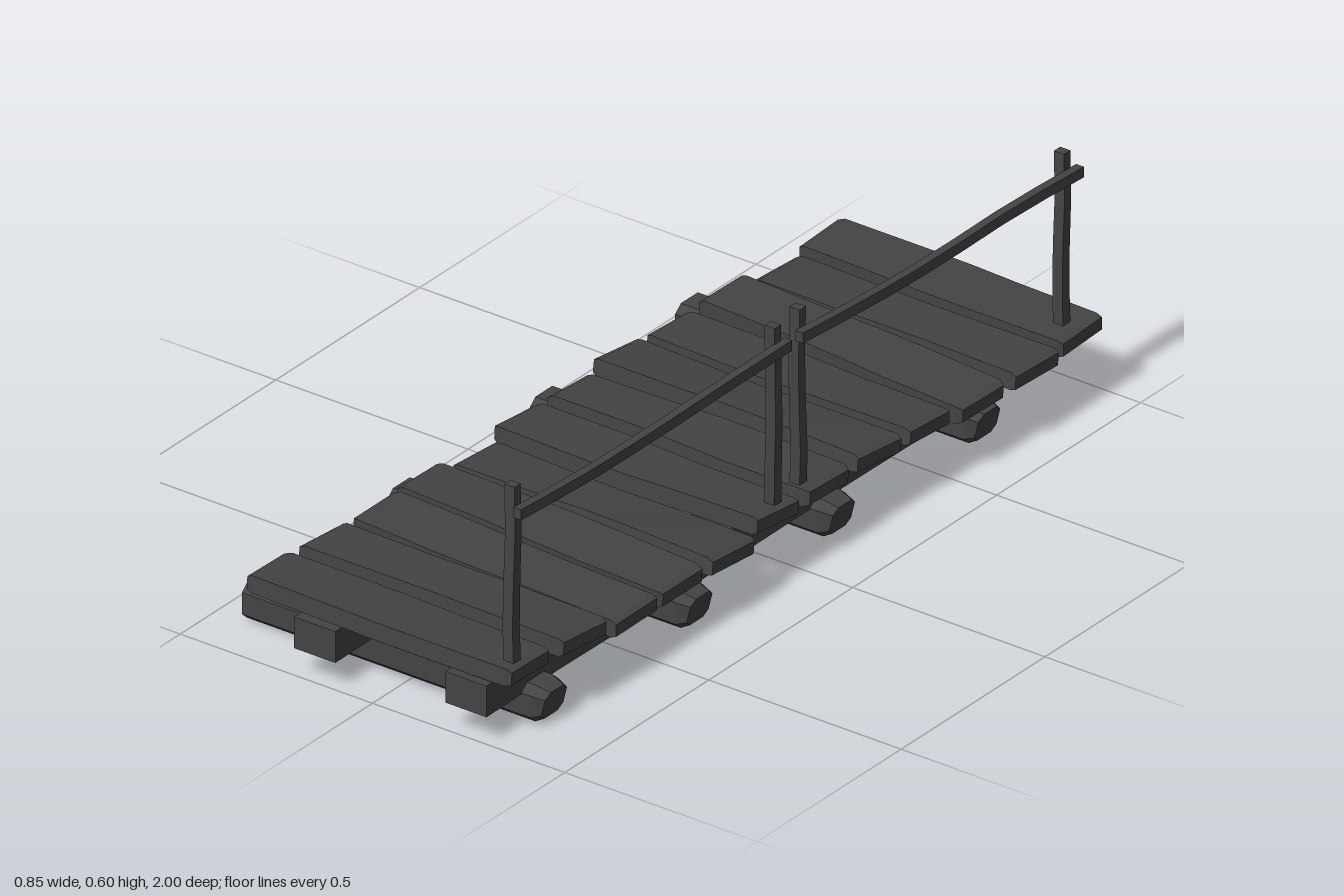
import * as THREE from 'three';

const wood = new THREE.MeshStandardMaterial({ color: 0x444444, flatShading: true, side: THREE.DoubleSide });

// Moves every vertex by a rule and returns a named flat-shaded mesh
function shaped(name, geometry, rule) {
  const p = geometry.attributes.position;
  const v = new THREE.Vector3();
  for (let i = 0; i < p.count; i++) {
    v.fromBufferAttribute(p, i);
    rule(v);
    p.setXYZ(i, v.x, v.y, v.z);
  }
  geometry.computeVertexNormals();
  const mesh = new THREE.Mesh(geometry, wood);
  mesh.name = name;
  return mesh;
}

// Deck plank with wavy long edges and softened ends
function plank(i, [z, x0, x1, yL, yR, roll]) {
  const len = x1 - x0;
  const geo = new THREE.BoxGeometry(len, 0.041, 0.146, 6, 1, 1);
  const mesh = shaped('plank', geo, (v) => {
    const t = v.x / len;
    const side = Math.sign(v.z);
    const end = Math.abs(t) > 0.49;
    if (!end && Math.abs(t) > 0.3) v.x = Math.sign(t) * (len / 2 - 0.014);
    v.z += 0.005 * Math.sin(t * 7 + i * 2.3 + side);
    v.y += 0.002 * Math.sin(t * 5 + i * 1.7 + side);
    if (end) {
      v.y *= 0.72;
      v.z *= 0.97;
      v.x += side * 0.004 * Math.sin(i * 3.1);
    }
  });
  mesh.position.set((x0 + x1) / 2, (yL + yR) / 2, z);
  mesh.rotation.set(roll, 0, Math.atan2(yR - yL, len));
  return mesh;
}

// Cross log: chamfered square section, sawn flat at -x, blunted at +x
function crossLog(z) {
  const geo = new THREE.CylinderGeometry(1, 1, 1, 8, 4);
  geo.rotateY(Math.PI / 8);
  geo.rotateZ(-Math.PI / 2);
  const square = (a) => (Math.abs(a) < 0.01 ? 0 : Math.sign(a) * (Math.abs(a) > 0.6 ? 1 : 0.6));
  const mesh = shaped('crossLog', geo, (v) => {
    const end = v.x > 0.45;
    if (v.x > 0.2 && !end) v.x = 0.465;
    const k = end ? 0.78 : 1;
    v.y = square(v.y) * 0.043 * k;
    v.z = square(v.z) * 0.049 * k;
    v.x = v.x * 0.775 + (end ? v.y * 0.25 : 0);
  });
  mesh.position.set(-0.0425, 0.048, z);
  return mesh;
}

// Lengthwise beam, slightly uneven underneath
function stringer(x, phase) {
  const mesh = shaped('stringer', new THREE.BoxGeometry(0.107, 0.074, 2, 1, 1, 8), (v) => {
    if (Math.abs(v.z) < 0.99) {
      v.y += 0.005 * Math.sin(v.z * 5 + phase);
      v.x += 0.004 * Math.sin(v.z * 4 + phase);
    }
  });
  mesh.position.set(x, 0.106, 0);
  return mesh;
}

// Upright post, faintly crooked
function post(x, z, phase) {
  const mesh = shaped('railPost', new THREE.BoxGeometry(0.026, 0.45, 0.024, 1, 4, 1), (v) => {
    if (Math.abs(v.y) < 0.2) {
      v.x += 0.003 * Math.sin(v.y * 12 + phase);
      v.z += 0.002 * Math.cos(v.y * 10 + phase);
    }
    v.z *= 1 - v.y * 0.4;
  });
  mesh.position.set(x, 0.38, z);
  return mesh;
}

// Handrail bar that runs through a few [x, y, z] points
function handrail(points) {
  const curve = new THREE.CatmullRomCurve3(points.map((p) => new THREE.Vector3(...p)));
  return shaped('handrail', new THREE.BoxGeometry(0.02, 0.025, 1, 1, 1, 7), (v) => {
    const c = curve.getPoint(0.5 - v.z);
    v.set(c.x + v.x, c.y + v.y, c.z);
  });
}

export function createModel() {
  const model = new THREE.Group();
  model.name = 'woodenWalkway';

  // Supports
  [0.83, 0.325, -0.17, -0.675].forEach((z) => model.add(crossLog(z)));
  model.add(stringer(-0.15, 2.6), stringer(0.243, 3.2));

  // Planks: z, left end x, right end x, left height, right height, roll
  const planks = [
    [-0.905, -0.265, 0.42, 0.184, 0.176, 0.03],
    [-0.746, -0.26, 0.42, 0.17, 0.165, -0.05],
    [-0.583, -0.28, 0.405, 0.188, 0.155, 0],
    [-0.42, -0.3, 0.385, 0.167, 0.16, -0.07],
    [-0.257, -0.312, 0.378, 0.176, 0.166, -0.12],
    [-0.083, -0.302, 0.378, 0.169, 0.168, -0.05],
    [0.088, -0.315, 0.37, 0.167, 0.167, -0.08],
    [0.252, -0.296, 0.38, 0.156, 0.146, -0.1],
    [0.417, -0.32, 0.37, 0.17, 0.145, 0],
    [0.579, -0.315, 0.37, 0.17, 0.145, 0],
    [0.747, -0.322, 0.365, 0.172, 0.168, -0.07],
    [0.914, -0.342, 0.345, 0.169, 0.163, -0.06],
  ];
  planks.forEach((p, i) => model.add(plank(i, p)));

  // Railing along the left side, in two spans
  const railing = new THREE.Group();
  railing.name = 'railing';
  [[0.319, 0.94], [0.341, 0.065], [0.335, -0.03], [0.371, -0.9]].forEach(([x, z], i) => railing.add(post(x, z, i * 2)));
  railing.add(
    handrail([[0.346, 0.551, 0.96], [0.353, 0.545, 0.74], [0.35, 0.54, 0.5], [0.358, 0.55, 0.27], [0.362, 0.555, 0.04]]),
    handrail([[0.357, 0.551, -0.005], [0.37, 0.546, -0.23], [0.373, 0.541, -0.46], [0.386, 0.554, -0.7], [0.395, 0.552, -0.93]]),
  );
  model.add(railing);
  return model;
}
